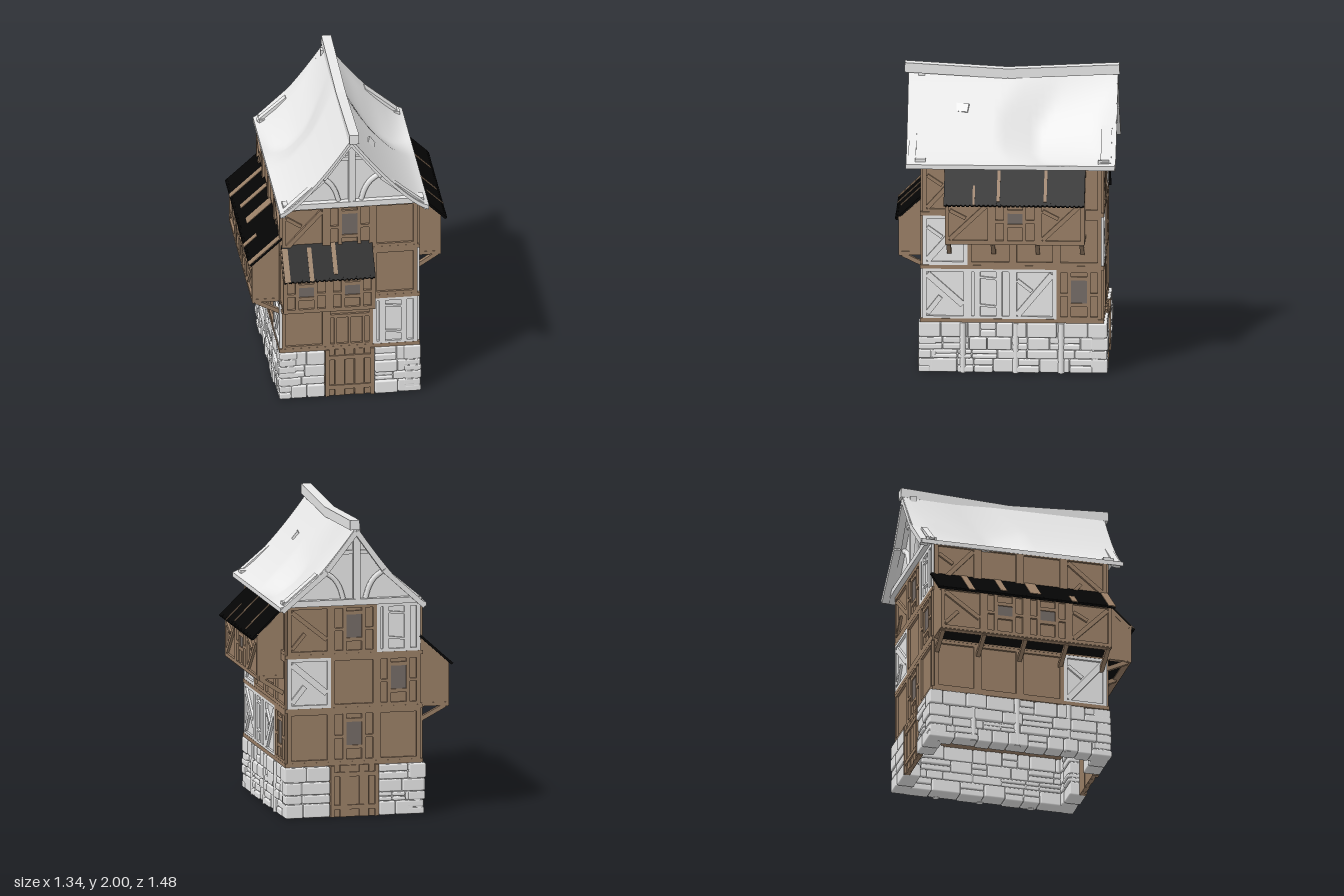
import * as THREE from 'three';
import { RoundedBoxGeometry } from 'three/addons/geometries/RoundedBoxGeometry.js';

const mat = (name, color) => Object.assign(new THREE.MeshStandardMaterial({ color }), { name });

export function createModel() {
  const wood = mat('brown wood', 0x9a7f66);
  const pale = mat('pale stone and plaster', 0xf2f2f2);
  const tile = mat('black tile', 0x050505);
  const glass = mat('window grey', 0x746b66);
  const house = new THREE.Group();
  house.name = 'house';

  let seed = 7;
  const rnd = () => (seed = (seed * 16807) % 2147483647) / 2147483647;

  const add = (parent, name, geo, m, x = 0, y = 0, z = 0) => {
    const mesh = new THREE.Mesh(geo, m);
    mesh.name = name;
    mesh.position.set(x, y, z);
    parent.add(mesh);
    return mesh;
  };
  const box = (p, name, m, x0, x1, y0, y1, z0, z1) =>
    add(p, name, new THREE.BoxGeometry(x1 - x0, y1 - y0, z1 - z0), m, (x0 + x1) / 2, (y0 + y1) / 2, (z0 + z1) / 2);
  // Straight timber between two points in the plane of a wall
  const beam = (p, name, m, a, b, w, d, z) => {
    const dx = b[0] - a[0], dy = b[1] - a[1];
    const mesh = add(p, name, new THREE.BoxGeometry(Math.hypot(dx, dy), w, d), m, (a[0] + b[0]) / 2, (a[1] + b[1]) / 2, z);
    mesh.rotation.z = Math.atan2(dy, dx);
  };
  // Strut in the (outward, up) plane at position u
  const strut = (p, name, m, u, a, b, w) => {
    const dz = b[0] - a[0], dy = b[1] - a[1];
    const mesh = add(p, name, new THREE.BoxGeometry(w, w, Math.hypot(dz, dy)), m, u, (a[1] + b[1]) / 2, (a[0] + b[0]) / 2);
    mesh.rotation.x = -Math.atan2(dy, dz);
  };

  // Wall frames: local x runs along the wall, local z points outward
  const wall = (name, x, z, turn) => {
    const g = new THREE.Group();
    g.name = name;
    g.position.set(x, 0, z);
    g.rotation.y = turn;
    house.add(g);
    return g;
  };
  const front = wall('frontWall', 0, 0.545, 0);
  const back = wall('backWall', 0, -0.635, Math.PI);
  const left = wall('leftWall', 0.45, 0, Math.PI / 2);
  const right = wall('rightWall', -0.45, 0, -Math.PI / 2);

  // One timber-framed wall panel
  const panel = (p, u0, u1, y0, y1, type, z = 0) => {
    const plaster = type.startsWith('plaster');
    const m = plaster ? pale : wood, w = u1 - u0, h = y1 - y0, c = (u0 + u1) / 2, cy = (y0 + y1) / 2;
    const brace = plaster ? 0.042 : 0.03;
    box(p, 'wallPanel', m, u0, u1, y0, y1, z - 0.02, z);
    const bar = (a, b, t = 0.024) => beam(p, 'timber', m, a, b, t, 0.024, z + 0.004);
    for (const u of [u0 + 0.013, u1 - 0.013]) bar([u, y0], [u, y1], 0.026);
    bar([u0, y0 + 0.012], [u1, y0 + 0.012]);
    bar([u0, y1 - 0.012], [u1, y1 - 0.012]);
    if (type === 'window') {
      const tall = h > 0.31, gw = tall ? 0.052 : 0.05, gh = tall ? 0.08 : 0.038, gy = cy + 0.02;
      for (const s of [-1, 1]) {
        bar([c + s * (gw + 0.012), y0], [c + s * (gw + 0.012), y1]);
        bar([c - gw, gy + s * (gh + 0.01)], [c + gw, gy + s * (gh + 0.01)]);
        bar([c + s * (gw + 0.012), cy], [c + s * w / 2, cy], 0.02);
      }
      box(p, 'windowGlass', glass, c - gw, c + gw, gy - gh, gy + gh, z, z + 0.008);
    } else if (/diagup$/i.test(type)) {
      bar([u0 + 0.03, y0 + 0.03], [u1 - 0.03, y1 - 0.04], brace);
      bar([u0 + 0.03, y1 - 0.08], [c - 0.02, cy + 0.02]);
    } else if (/diagdown$/i.test(type)) {
      bar([u0 + 0.03, y1 - 0.04], [u1 - 0.03, y0 + 0.1], brace);
      bar([u0 + 0.03, y0 + 0.04], [c - 0.03, cy - 0.02], brace * 0.8);
    } else if (type === 'plasterPosts') {
      for (const u of [-0.085, 0.06]) bar([c + u, y0], [c + u, y1], 0.04);
      bar([c - 0.08, y0 + 0.1], [c + 0.06, y0 + 0.085], 0.015);
      bar([c - 0.08, y1 - 0.06], [c + 0.06, y1 - 0.075], 0.015);
    } else if (type === 'boards') {
      bar([u0, y0 + h * 0.66], [u1, y0 + h * 0.66]);
      for (const k of [-0.3, 0, 0.3]) bar([c + k * w, y0], [c + k * w, y0 + h * 0.66], 0.018);
    }
  };

  // Storeys, bottom to top; panels listed along each wall's local x
  const levels = [[0.36, 0.71], [0.73, 1.07], [1.09, 1.42]];
  const endU = [-0.45, -0.155, 0.155, 0.45];
  const leftU = [-0.545, -0.25, 0.05, 0.34, 0.635];
  const rightU = leftU.map(u => -u).reverse();
  const plan = [
    [front, endU, [['plain', 'boards', 'plasterPosts'], ['plain', 'plain', 'plain'], ['diagUp', 'window', 'plain']]],
    [back, endU, [['plain', 'window', 'plain'], ['plasterDiagDown', 'plain', 'window'], ['diagDown', 'window', 'plasterPosts']]],
    [left, leftU, [['plasterDiagDown', 'plasterPosts', 'plasterDiagUp', 'window'], ['plasterDiagUp', 'plain', 'plain', 'plain'], ['diagUp', 'plain', 'plain', 'plain']]],
    [right, rightU, [['plain', 'plain', 'plain', 'plasterDiagUp'], ['plain', 'plain', 'plain', 'plain'], ['diagUp', 'plain', 'plain', 'diagDown']]],
  ];
  for (const [p, us, rows] of plan)
    rows.forEach((row, i) => row.forEach((type, j) => panel(p, us[j], us[j + 1], ...levels[i], type)));
  box(house, 'core', wood, -0.435, 0.435, 0.35, 1.42, -0.62, 0.53);
  for (const y of [0.342, 0.706, 1.068])
    box(house, 'floorBeam', wood, -0.468, 0.468, y, y + 0.026, -0.652, 0.562);

  // Stone base: rows of irregular blocks, thick enough to show on both faces
  const masonry = (p, u0, u1, z) => {
    box(p, 'stoneBacking', pale, u0 + 0.005, u1 - 0.005, 0.01, 0.335, z - 0.1, z - 0.015);
    let y = 0;
    for (const h of [0.095, 0.06, 0.085, 0.102]) {
      let u = u0;
      while (u < u1 - 0.001) {
        let w = 0.08 + rnd() * 0.13;
        if (u1 - u - w < 0.07) w = u1 - u;
        const out = rnd() * 0.016, courses = rnd() < 0.35 ? 2 : 1, ch = h / courses;
        for (let i = 0; i < courses; i++)
          add(p, 'stone', new RoundedBoxGeometry(w - 0.003, ch - 0.003, 0.115, 1, 0.01), pale,
            u + w / 2, y + ch * (i + 0.5), z - 0.063 + out - i * 0.006);
        u += w;
      }
      y += h;
    }
  };
  for (const [p, z] of [[front, 0.027], [back, 0.037]]) {
    masonry(p, -0.472, -0.165, z);
    masonry(p, 0.165, 0.472, z);
    // Plank door
    for (let i = 0; i < 5; i++)
      box(p, 'doorPlank', wood, -0.163 + i * 0.0655, -0.101 + i * 0.0655, 0, 0.345, z - 0.04, z - 0.012 + (i % 2) * 0.005);
    for (const y of [0.05, 0.27]) box(p, 'doorBand', wood, -0.163, 0.163, y, y + 0.03, z - 0.02, z);
    for (const s of [-1, 1]) box(p, 'doorPost', wood, s * 0.15 - 0.013, s * 0.15 + 0.013, 0, 0.345, z - 0.03, z + 0.003);
  }
  masonry(left, -0.575, 0.675, 0.02);
  masonry(right, -0.675, 0.575, 0.025);
  for (const [p, s] of [[left, 1], [right, -1]])
    for (const u of [-0.28, 0.07, 0.37])
      add(p, 'stonePost', new THREE.CylinderGeometry(0.021, 0.023, 0.34, 8), pale, u * s, 0.17, 0.01);

  // Jettied bay with a lean-to tile roof and a dark soffit
  const bay = (p, o) => {
    const roofY = z => o.top + (o.eave - o.top) * z / o.reach;
    const yTop = roofY(o.depth) - 0.012;
    const n = o.types.length, w = (o.u1 - o.u0) / n;
    o.types.forEach((t, i) => panel(p, o.u0 + i * w, o.u0 + (i + 1) * w, o.floor, yTop, t, o.depth));
    const cheek = new THREE.Shape([[0, o.floor], [o.depth, o.floor], [o.depth, yTop], [0, o.top - 0.012]].map(q => new THREE.Vector2(...q)));
    for (const u of [o.u0 + 0.016, o.u1]) {
      const mesh = add(p, 'bayCheek', new THREE.ExtrudeGeometry(cheek, { depth: 0.016, bevelEnabled: false }), wood, u, 0, 0);
      mesh.rotation.y = -Math.PI / 2;
    }
    for (const u of [o.u0 + 0.01, o.u1 - 0.01]) {
      strut(p, 'cheekTimber', wood, u, [0, o.floor + 0.012], [o.depth, o.floor + 0.012], 0.024);
      strut(p, 'cheekTimber', wood, u, [0, o.top - 0.035], [o.depth, yTop - 0.015], 0.024);
    }
    box(p, 'baySill', wood, o.u0, o.u1, o.floor - 0.005, o.floor + 0.02, o.depth - 0.03, o.depth + 0.012);
    box(p, 'baySoffit', tile, o.u0 + 0.016, o.u1 - 0.016, o.floor + 0.002, o.floor + 0.01, 0.005, o.depth - 0.03);
    for (let i = 0; i <= o.brackets; i++) {
      const u = o.u0 + 0.02 + (o.u1 - o.u0 - 0.04) * i / o.brackets;
      strut(p, 'bayBracket', wood, u, [0, o.floor - o.drop], [o.depth - 0.01, o.floor], 0.028);
    }
    // Tile roof tilted about its top edge, with bare battens showing between tiles
    const roof = new THREE.Group();
    roof.name = 'bayRoof';
    const len = Math.hypot(o.reach, o.top - o.eave);
    roof.position.set(0, o.top, 0);
    roof.rotation.x = Math.atan2(o.top - o.eave, o.reach);
    p.add(roof);
    box(roof, 'tileSheet', tile, o.r0, o.r1, -0.012, 0.004, 0, len - 0.004);
    for (let u = o.r0; u < o.r1 - 0.02; u += 0.03)
      box(roof, 'tileEnd', tile, u, Math.min(u + 0.018, o.r1), -0.01, 0.005, len - 0.02, len + 0.003);
    for (const [a, b, from, to] of o.bare)
      box(roof, 'bareBatten', wood, a, b, 0.002, 0.008, from * len, to * len);
  };
  bay(front, {
    u0: -0.46, u1: 0.15, r0: -0.455, r1: 0.15, floor: 0.715, depth: 0.155, reach: 0.19, eave: 0.955, top: 1.135,
    types: ['window', 'window'], brackets: 2, drop: 0.07,
    bare: [[-0.455, -0.415, 0.1, 1], [-0.287, -0.258, 0.1, 1], [-0.125, -0.097, 0, 0.85]],
  });
  bay(left, {
    u0: -0.39, u1: 0.53, r0: -0.4, r1: 0.53, floor: 0.92, depth: 0.165, reach: 0.215, eave: 1.19, top: 1.4,
    types: ['diagUp', 'window', 'diagUp'], brackets: 3, drop: 0.1,
    bare: [[-0.21, -0.195, 0.5, 1], [-0.05, -0.03, 0.1, 0.9], [0.26, 0.28, 0, 0.9]],
  });
  bay(right, {
    u0: -0.64, u1: 0.53, r0: -0.66, r1: 0.55, floor: 0.715, depth: 0.18, reach: 0.215, eave: 1.0, top: 1.195,
    types: ['diagDown', 'window', 'window', 'diagUp'], brackets: 4, drop: 0.09,
    bare: [[-0.455, -0.41, 0, 1], [-0.225, -0.18, 0, 0.8], [-0.02, 0.055, 0, 0.75], [0.25, 0.29, 0.6, 1], [0.5, 0.55, 0, 1]],
  });

  // Main roof: two slabs folding into a valley towards the back
  const profile = t => 1.42 + 0.53 * Math.pow(1 - t, 1.35);
  const sag = (t, z) => {
    const valley = -0.2 - 0.45 * Math.max(0, 0.4 - t) - 0.3 * Math.max(0, t - 0.7);
    const fold = Math.max(0, 1 - (z > valley ? (z - valley) / 0.25 : (valley - z) / 0.42));
    return 0.09 * Math.sin(Math.PI * t) * fold;
  };
  for (const [s, eave] of [[1, 0.517], [-1, 0.475]]) {
    const geo = new THREE.BoxGeometry(1, 1, 1, 16, 1, 34), pos = geo.attributes.position;
    for (let i = 0; i < pos.count; i++) {
      const t = Math.min(1, Math.max(0, 0.5 + s * pos.getX(i))), z = -0.035 + pos.getZ(i) * 1.38;
      pos.setXYZ(i, s * eave * t, profile(t) - sag(t, z) + (pos.getY(i) - 0.5) * 0.03 + 0.008, z);
    }
    geo.computeVertexNormals();
    add(house, 'roofSlope', geo, pale);
  }
  // Ridge beam, dipping at the middle
  for (const [z0, z1] of [[0.68, 0], [0, -0.74]])
    strut(house, 'ridgeBeam', pale, 0.015, [z0, z0 ? 1.967 : 1.93], [z1, z1 ? 1.967 : 1.93], 0.065);
  // Repair boards bedded in the slopes near the back, and one loose board
  const board = (x, y, z, w, d, tilt, turn) => {
    const m = add(house, 'roofBoard', new THREE.BoxGeometry(w, 0.02, d), pale, x, y, z);
    m.rotation.set(0, turn, tilt, 'YXZ');
  };
  board(0.37, 1.535, -0.665, 0.3, 0.07, -0.7, 0);
  board(-0.36, 1.52, -0.65, 0.25, 0.04, 0.7, 0);
  board(0.16, 1.728, 0.35, 0.06, 0.2, -0.9, -0.25);

  // Gables: plaster, rafters, tie beam, king post, collar and curved braces
  for (const [p, plus, minus] of [[front, 0.505, 0.463], [back, 0.463, 0.505]]) {
    const pts = [];
    for (let i = -10; i <= 10; i++)
      pts.push(new THREE.Vector2(i / 10 * (i > 0 ? plus : minus), profile(Math.abs(i) / 10) - 0.012));
    add(p, 'gablePlaster', new THREE.ExtrudeGeometry(new THREE.Shape(pts), { depth: 0.02, bevelEnabled: false }), pale, 0, 0, -0.01);
    box(p, 'tieBeam', pale, -minus + 0.015, plus - 0.015, 1.42, 1.46, -0.02, 0.05);
    box(p, 'kingPost', pale, -0.01, 0.035, 1.46, 1.94, 0, 0.045);
    box(p, 'collar', pale, -0.11, 0.11, 1.76, 1.785, 0, 0.03);
    for (const [s, reach] of [[1, plus], [-1, minus]]) {
      const cuts = [0, 0.4, 1];
      for (let i = 0; i < 2; i++)
        beam(p, 'rafter', pale, [s * reach * cuts[i], profile(cuts[i]) - 0.03], [s * reach * cuts[i + 1], profile(cuts[i + 1]) - 0.025 + i * 0.008], 0.034, 0.05, 0.07);
      const curve = new THREE.CatmullRomCurve3([[0.075, 1.46], [0.1, 1.54], [0.14, 1.6], [0.21, 1.65]].map(q => new THREE.Vector3(s * q[0], q[1], 0.02)));
      add(p, 'curvedBrace', new THREE.TubeGeometry(curve, 8, 0.018, 6), pale);
    }
  }
  return house;
}
